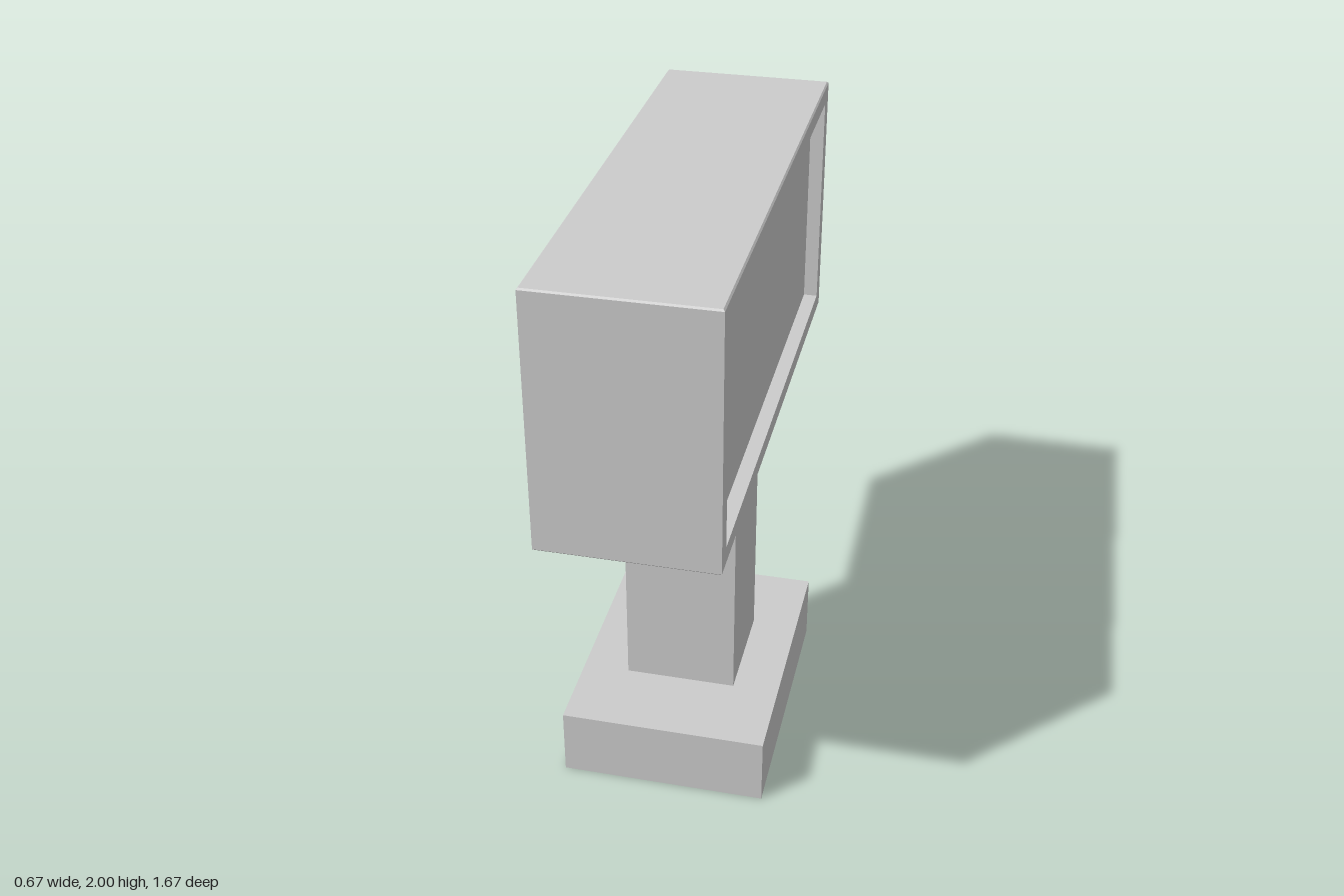
import * as THREE from 'three';

const material = new THREE.MeshStandardMaterial({ color: 0xcccccc, flatShading: true });

function addMesh(parent, name, geometry, x, y, z) {
  const mesh = new THREE.Mesh(geometry, material);
  mesh.name = name;
  mesh.position.set(x, y, z);
  parent.add(mesh);
  return mesh;
}

// Box given by its half width, half depth and vertical extent
function addBlock(parent, name, hx, hz, y0, y1) {
  return addMesh(parent, name, new THREE.BoxGeometry(2 * hx, y1 - y0, 2 * hz), 0, (y0 + y1) / 2, 0);
}

export function createModel() {
  const model = new THREE.Group();
  model.name = 'pedestalSign';

  // Foot and post
  addBlock(model, 'base', 0.336, 0.453, 0, 0.232);
  addBlock(model, 'post', 0.183, 0.183, 0.232, 1.18);

  // Head: solid cabinet behind a frame that leaves a recessed panel on +x
  const head = new THREE.Group();
  head.name = 'head';
  model.add(head);
  const hx = 0.272, hz = 0.833, bottom = 1.18, top = 2, bevel = 0.005, recess = 0.045;
  const y0 = bottom + bevel, y1 = top - bevel;

  addMesh(head, 'cabinet', new THREE.BoxGeometry(2 * hx - recess, y1 - y0, 2 * hz),
    -recess / 2, (y0 + y1) / 2, 0);

  const rectangle = (Type, w, a, b) => new Type([
    new THREE.Vector2(-w, a), new THREE.Vector2(w, a),
    new THREE.Vector2(w, b), new THREE.Vector2(-w, b),
  ]);
  const outline = rectangle(THREE.Shape, hz, y0, y1);
  outline.holes.push(rectangle(THREE.Path, 0.776, 1.238, 1.942));
  const frame = new THREE.ExtrudeGeometry(outline, { depth: recess, bevelEnabled: false });
  frame.rotateY(Math.PI / 2);
  addMesh(head, 'panelFrame', frame, hx - recess, 0, 0);

  // Fine bevels along the top and bottom edges
  for (const side of [1, -1]) {
    const cap = new THREE.BoxGeometry(2 * hx, bevel, 2 * hz);
    const p = cap.attributes.position;
    for (let i = 0; i < p.count; i++) {
      if (p.getY(i) * side > 0) {
        p.setX(i, Math.sign(p.getX(i)) * (hx - bevel));
        p.setZ(i, Math.sign(p.getZ(i)) * (hz - bevel));
      }
    }
    cap.computeVertexNormals();
    addMesh(head, side > 0 ? 'topBevel' : 'bottomBevel', cap, 0,
      side > 0 ? top - bevel / 2 : bottom + bevel / 2, 0);
  }
  return model;
}
